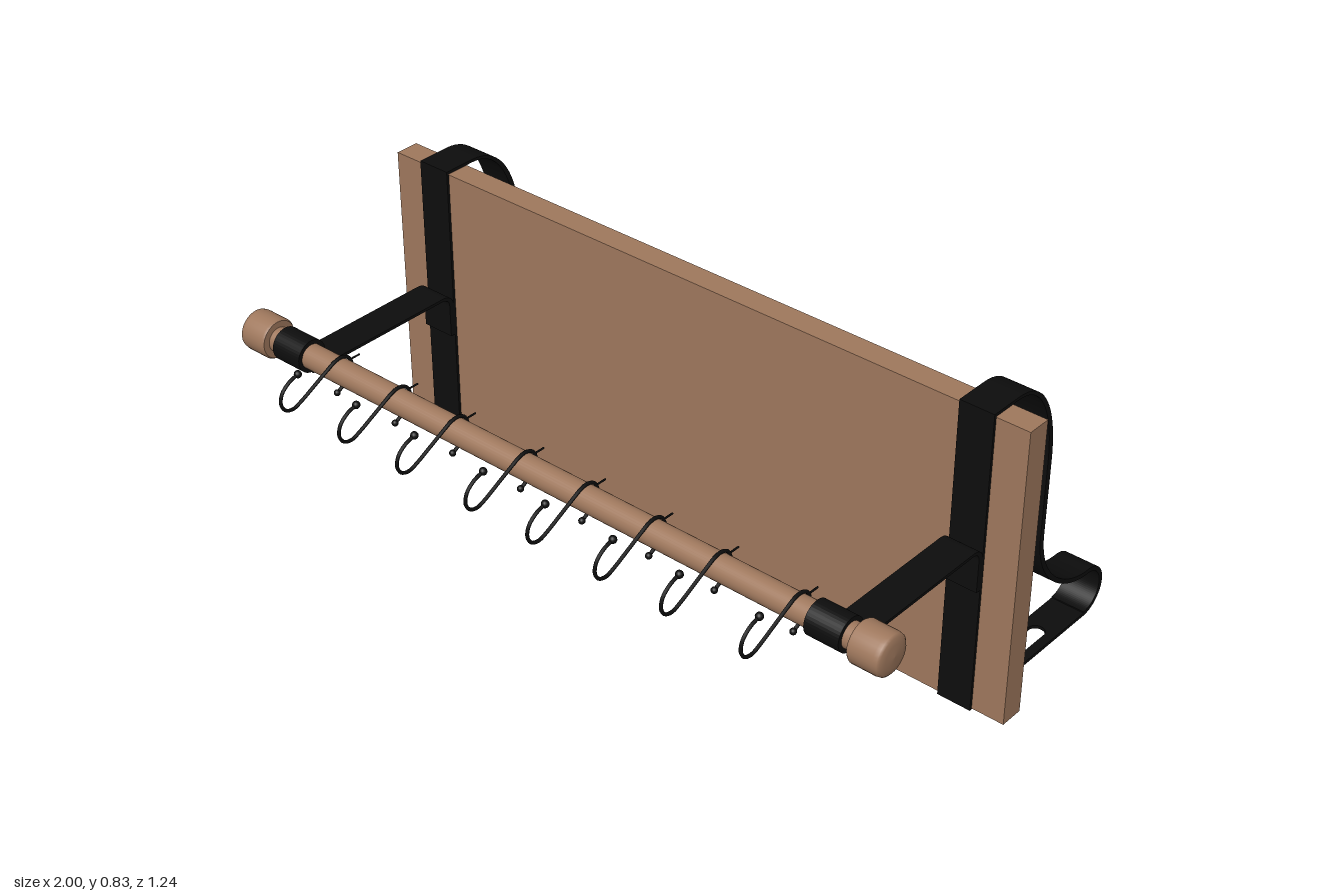
import * as THREE from 'three';

const ROD_Y = 0.52, ROD_Z = 0.42;
const STRAP_X = 0.837, STRAP_W = 0.094;

export function createModel() {
  const root = new THREE.Group();
  root.name = 'hookRailBoard';
  const wood = new THREE.MeshStandardMaterial({ color: 0x9f785d });
  wood.name = 'wood';
  const black = new THREE.MeshStandardMaterial({ color: 0x0d0d0d });
  black.name = 'blackMetal';

  const add = (parent, name, geometry, material, x = 0, y = 0, z = 0) => {
    const mesh = new THREE.Mesh(geometry, material);
    mesh.name = name;
    mesh.position.set(x, y, z);
    parent.add(mesh);
    return mesh;
  };
  // Extrudes a side profile drawn as (-z, y) across the strap width
  const sideExtrude = (shape) => {
    const g = new THREE.ExtrudeGeometry(shape, { depth: STRAP_W, bevelEnabled: false, curveSegments: 20 });
    g.translate(0, 0, -STRAP_W / 2);
    g.rotateY(Math.PI / 2);
    return g;
  };

  // Board
  add(root, 'board', new THREE.BoxGeometry(1.948, 0.82, 0.066), wood, 0, 0.413, -0.108);

  // Strap: front strip, over the top, down the back and round the foot
  const strap = new THREE.Shape();
  strap.moveTo(0.068, 0);
  strap.lineTo(0.068, 0.833);
  strap.lineTo(0.16, 0.833);
  strap.bezierCurveTo(0.27, 0.833, 0.323, 0.72, 0.323, 0.58);
  strap.lineTo(0.323, 0.37);
  strap.bezierCurveTo(0.323, 0.23, 0.45, 0.143, 0.545, 0.143);
  strap.absarc(0.545, 0.0715, 0.0715, Math.PI / 2, -Math.PI / 2, true);
  strap.lineTo(0.545, 0.009);
  strap.absarc(0.545, 0.0715, 0.059, -Math.PI / 2, Math.PI / 2, false);
  strap.bezierCurveTo(0.44, 0.133, 0.308, 0.225, 0.308, 0.37);
  strap.lineTo(0.308, 0.58);
  strap.bezierCurveTo(0.308, 0.71, 0.262, 0.825, 0.16, 0.825);
  strap.lineTo(0.075, 0.825);
  strap.lineTo(0.075, 0);
  strap.closePath();
  const strapGeo = sideExtrude(strap);

  // Slotted foot plate
  const foot = new THREE.Shape();
  const hw = STRAP_W / 2;
  foot.moveTo(-hw, 0.068);
  foot.lineTo(hw, 0.068);
  foot.lineTo(hw, 0.548);
  foot.lineTo(-hw, 0.548);
  foot.closePath();
  const slot = new THREE.Path();
  slot.absarc(0, 0.41, 0.022, 0, Math.PI, false);
  slot.absarc(0, 0.27, 0.022, Math.PI, Math.PI * 2, false);
  slot.closePath();
  foot.holes.push(slot);
  const footGeo = new THREE.ExtrudeGeometry(foot, { depth: 0.009, bevelEnabled: false });
  footGeo.rotateX(-Math.PI / 2);

  // Bracket arm with a bent mounting tab
  const arm = new THREE.Shape();
  arm.moveTo(-ROD_Z, 0.47);
  arm.lineTo(0.03, 0.47);
  arm.quadraticCurveTo(0.054, 0.468, 0.054, 0.445);
  arm.lineTo(0.054, 0.355);
  arm.lineTo(0.068, 0.355);
  arm.lineTo(0.068, 0.445);
  arm.quadraticCurveTo(0.066, 0.477, 0.03, 0.478);
  arm.lineTo(-ROD_Z, 0.478);
  arm.closePath();
  const armGeo = sideExtrude(arm);

  // Band wrapped round the rod
  const ring = new THREE.Shape();
  ring.absarc(-ROD_Z, ROD_Y, 0.044, 0, Math.PI * 2, false);
  const bore = new THREE.Path();
  bore.absarc(-ROD_Z, ROD_Y, 0.032, 0, Math.PI * 2, true);
  ring.holes.push(bore);
  const ringGeo = sideExtrude(ring);

  for (const side of [-1, 1]) {
    const bracket = new THREE.Group();
    bracket.name = side < 0 ? 'rightBracket' : 'leftBracket';
    bracket.position.x = side * STRAP_X;
    root.add(bracket);
    add(bracket, 'strap', strapGeo, black);
    add(bracket, 'footPlate', footGeo, black);
    add(bracket, 'arm', armGeo, black);
    add(bracket, 'rodBand', ringGeo, black);
  }

  // Rod and rounded end caps
  const rodGeo = new THREE.CylinderGeometry(0.033, 0.033, 1.9, 32);
  rodGeo.rotateZ(Math.PI / 2);
  add(root, 'rod', rodGeo, wood, 0, ROD_Y, ROD_Z);

  const capProfile = [[0, 0], [0.05, 0], [0.05, 0], [0.054, 0.006], [0.054, 0.07],
    [0.052, 0.08], [0.046, 0.085], [0.03, 0.088], [0, 0.09]];
  const capGeo = new THREE.LatheGeometry(capProfile.map((p) => new THREE.Vector2(...p)), 32);
  for (const side of [-1, 1]) {
    const cap = add(root, side < 0 ? 'rightCap' : 'leftCap', capGeo, wood, side * 0.91, ROD_Y, ROD_Z);
    cap.rotation.z = -side * Math.PI / 2;
  }

  // Hook wire: open curl at the front, over the rod and back underneath (z, y)
  const wire = [[0.555, 0.576], [0.585, 0.566], [0.609, 0.545], [0.615, 0.518], [0.602, 0.495],
    [0.578, 0.488], [0.552, 0.497], [0.51, 0.518], [0.467, 0.54], [0.438, 0.554], [0.414, 0.557],
    [0.392, 0.546], [0.382, 0.52], [0.39, 0.494], [0.41, 0.48], [0.437, 0.464]];
  const hookCurve = new THREE.CatmullRomCurve3(wire.map(([z, y]) => new THREE.Vector3(0, y, z)));
  const wireGeo = new THREE.TubeGeometry(hookCurve, 64, 0.0045, 8, false);
  const ballGeo = new THREE.SphereGeometry(0.01, 12, 10);
  const tailGeo = new THREE.CylinderGeometry(0.0025, 0.0025, 0.035, 6);
  tailGeo.rotateX(Math.PI / 2);

  for (const x of [-0.687, -0.484, -0.289, -0.067, 0.126, 0.329, 0.521, 0.743]) {
    const hook = new THREE.Group();
    hook.name = 'hook';
    hook.position.x = x;
    root.add(hook);
    add(hook, 'hookWire', wireGeo, black);
    add(hook, 'hookTip', ballGeo, black, 0, 0.576, 0.555);
    add(hook, 'hookEnd', ballGeo, black, 0, 0.465, 0.437).scale.setScalar(0.85);
    add(hook, 'hookTail', tailGeo, black, 0, 0.538, 0.373);
  }
  return root;
}
